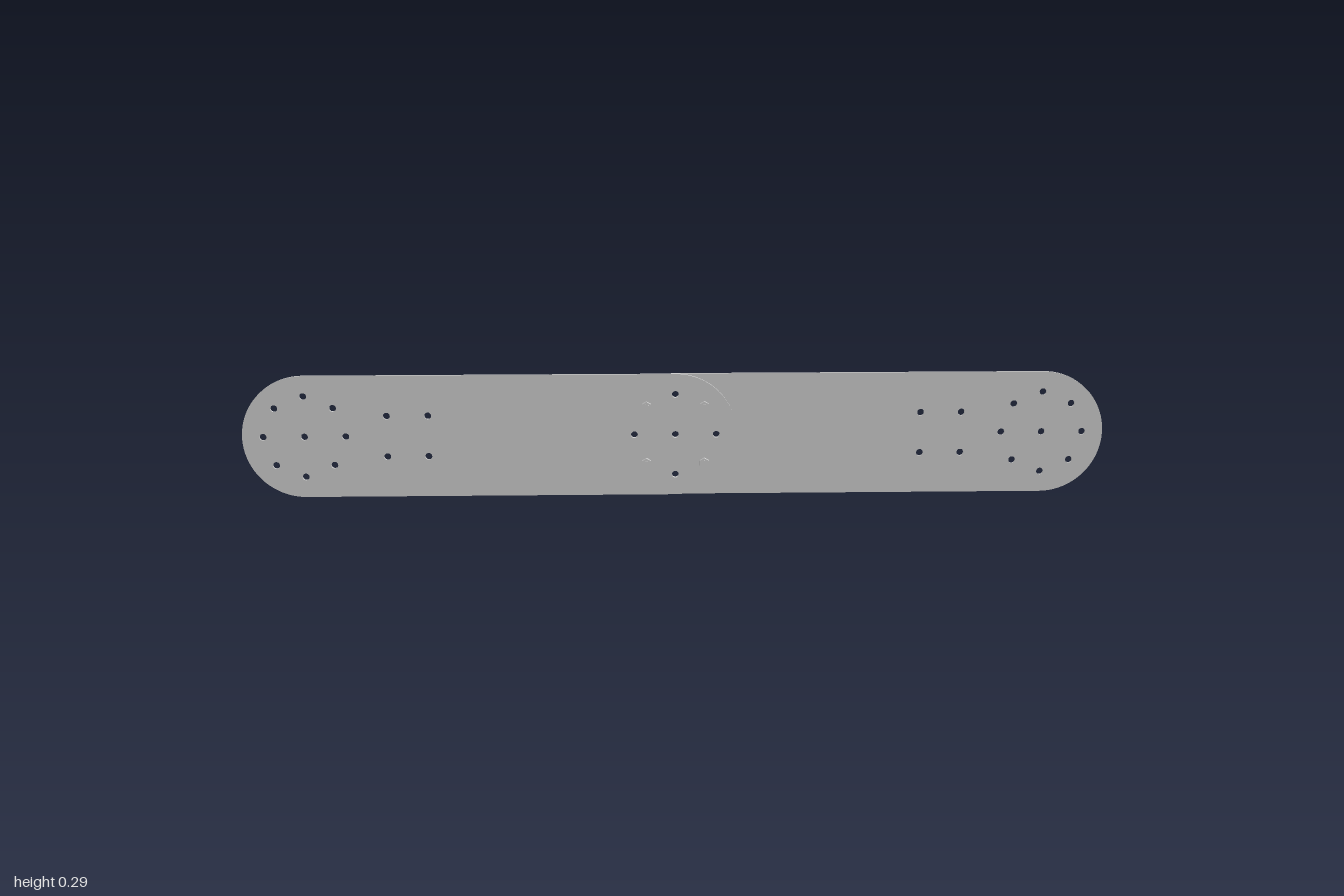
import * as THREE from 'three';
import { toCreasedNormals } from 'three/addons/utils/BufferGeometryUtils.js';

const R = 0.143;        // strap half width and end radius
const T = 0.006;        // strap thickness
const END = 1 - R;      // centre of the outer round end
const RING = 0.095;     // radius of the hole circle
const HOLE = 0.008;

const material = new THREE.MeshStandardMaterial({ color: 0xcccccc });

function addMesh(parent, geometry, name) {
  const mesh = new THREE.Mesh(geometry, material);
  mesh.name = name;
  parent.add(mesh);
  return mesh;
}

// Flat strap with round ends, running from x = 0 towards +x
function strapGeometry() {
  const shape = new THREE.Shape();
  shape.absarc(END, 0, R, -Math.PI / 2, Math.PI / 2, false);
  shape.absarc(0, 0, R, Math.PI / 2, Math.PI * 1.5, false);
  shape.closePath();

  const drill = (x, y) => {
    const hole = new THREE.Path();
    hole.absarc(x, y, HOLE, 0, Math.PI * 2, true);
    shape.holes.push(hole);
  };
  // Centre hole and ring of eight at each end
  for (const cx of [0, END]) {
    drill(cx, 0);
    for (let i = 0; i < 8; i++) {
      const a = (i * Math.PI) / 4;
      drill(cx + RING * Math.cos(a), RING * Math.sin(a));
    }
  }
  // Four extra holes inboard of the outer ring
  for (const x of [0.572, 0.667]) for (const y of [-0.048, 0.048]) drill(x, y);

  const geometry = new THREE.ExtrudeGeometry(shape, { depth: T, bevelEnabled: false, curveSegments: 24 });
  return toCreasedNormals(geometry, 0.6);
}

// Bolt along z: domed head at the back, hex nut and shank tip at the front
function createBolt() {
  const bolt = new THREE.Group();
  bolt.name = 'bolt';

  const shank = addMesh(bolt, new THREE.CylinderGeometry(0.0065, 0.0065, 0.0235, 20), 'shank');
  shank.rotation.x = Math.PI / 2;
  shank.position.z = 0.00475;

  const profile = [[0, 0], [0.0118, 0], [0.0118, 0.003], [0.0108, 0.0055], [0.0085, 0.0073], [0.005, 0.0082], [0, 0.0085]]
    .map(([x, y]) => new THREE.Vector2(x, y));
  const head = addMesh(bolt, toCreasedNormals(new THREE.LatheGeometry(profile, 24), 0.7), 'boltHead');
  head.rotation.x = -Math.PI / 2;
  head.position.z = -T;
  // Lathe profile starts on the axis, so the base faces the strap
  const nut = addMesh(bolt, toCreasedNormals(new THREE.CylinderGeometry(0.0122, 0.0122, 0.009, 6), 0.5), 'hexNut');
  nut.rotation.x = Math.PI / 2;
  nut.position.z = T + 0.0045;
  return bolt;
}

export function createModel() {
  const model = new THREE.Group();
  model.name = 'jointedStraps';

  // Right strap lies in front, left strap behind, overlapping at the middle
  const geometry = strapGeometry();
  const backStrap = addMesh(model, geometry, 'leftStrap');
  backStrap.position.set(0, R, -T);
  const frontStrap = addMesh(model, geometry, 'rightStrap');
  frontStrap.rotation.z = Math.PI;
  frontStrap.position.set(0, R, 0);

  // Four bolts through the diagonal holes of the overlap
  const d = RING * Math.SQRT1_2;
  for (const x of [-d, d]) {
    for (const y of [-d, d]) {
      const bolt = createBolt();
      bolt.position.set(x, R + y, 0);
      model.add(bolt);
    }
  }
  return model;
}
